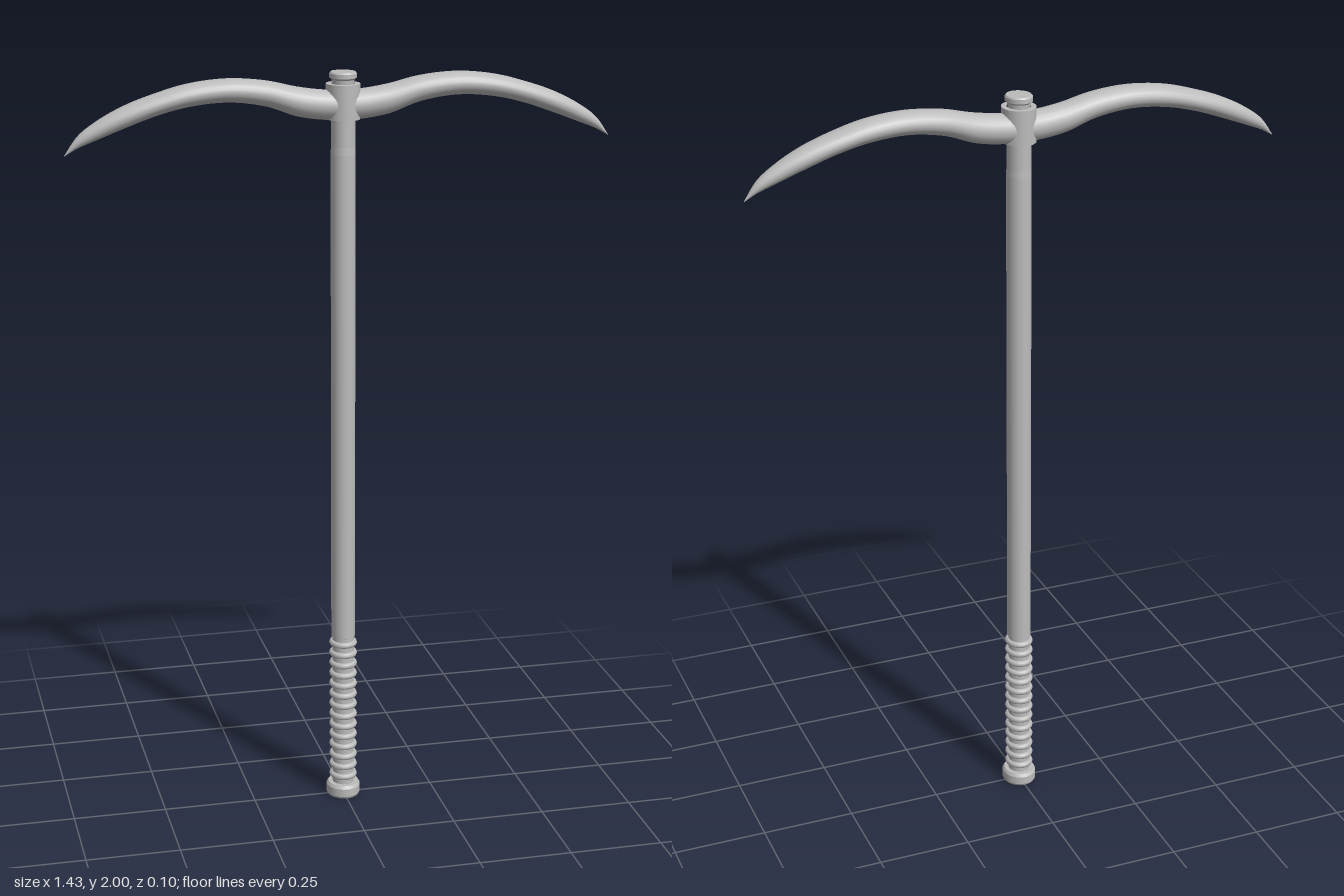
import * as THREE from 'three';

const DEPTH = 1.1; // the shaft is slightly oval, deeper than wide

export function createModel() {
  const group = new THREE.Group();
  const steel = new THREE.MeshStandardMaterial({ color: 0xbcbcbc });
  steel.name = 'plain grey';

  const add = (name, geometry) => {
    const mesh = new THREE.Mesh(geometry, steel);
    mesh.name = name;
    group.add(mesh);
  };

  // Turned part; every profile segment is its own band so its edges stay crisp
  const turned = (name, profile, sides = 24) => {
    const pts = [];
    profile.forEach(([r, y]) => pts.push(new THREE.Vector2(r, y)));
    for (let i = 0; i < pts.length - 1; i++) {
      const g = new THREE.LatheGeometry([pts[i], pts[i + 1]], sides);
      g.scale(1, 1, DEPTH);
      add(name, g);
    }
  };

  // Pommel, shaft, collar and end cap
  turned('pommel', [[0, 0], [0.043, 0], [0.046, 0.006], [0.046, 0.028], [0.041, 0.036], [0, 0.036]]);
  turned('gripCore', [[0.029, 0.03], [0.029, 0.47]]);
  turned('shaft', [[0.028, 0.465], [0.032, 0.467], [0.032, 1.79], [0.031, 1.81], [0.031, 1.9]]);
  turned('collar', [[0.03, 1.88], [0.044, 1.88], [0.044, 1.97], [0.03, 1.97]]);
  turned('endCap', [[0.028, 1.965], [0.029, 1.98], [0.035, 1.985], [0.035, 1.996], [0.032, 2], [0, 2]]);

  // Raised rings around the grip
  for (let i = 0; i < 14; i++) {
    const ring = new THREE.TorusGeometry(0.0295, 0.0085, 8, 24);
    ring.rotateX(Math.PI / 2);
    ring.scale(1, 1, DEPTH);
    ring.translate(0, 0.058 + i * 0.03, 0);
    add('gripRing', ring);
  }

  // Head arm sections: x, top y, bottom y, half depth
  const sections = [
    [0, 1.955, 1.878, 0.042], [0.05, 1.956, 1.879, 0.042], [0.12, 1.966, 1.89, 0.042],
    [0.2, 1.984, 1.918, 0.042], [0.3, 1.992, 1.932, 0.042], [0.4, 1.982, 1.924, 0.042],
    [0.48, 1.961, 1.905, 0.04], [0.56, 1.933, 1.877, 0.034], [0.63, 1.897, 1.85, 0.024],
    [0.68, 1.86, 1.83, 0.013], [0.714, 1.813, 1.811, 0.0005],
  ];
  const rail = new THREE.CatmullRomCurve3(
    sections.map(([x, top, low]) => new THREE.Vector3(x, (top + low) / 2, 0)));
  const size = new THREE.CatmullRomCurve3(
    sections.map(([x, top, low, d]) => new THREE.Vector3(x, (top - low) / 2, d)));

  const arm = () => {
    const rings = 50, sides = 24, pos = [], index = [];
    for (let i = 0; i <= rings; i++) {
      const p = rail.getPoint(i / rings), s = size.getPoint(i / rings);
      for (let j = 0; j < sides; j++) {
        const a = (j / sides) * Math.PI * 2;
        pos.push(p.x, p.y + Math.cos(a) * s.y, Math.sin(a) * s.z);
        if (i === rings) continue;
        const k = (j + 1) % sides, r = i * sides, n = r + sides;
        index.push(r + j, r + k, n + j, r + k, n + k, n + j);
      }
    }
    const g = new THREE.BufferGeometry();
    g.setAttribute('position', new THREE.Float32BufferAttribute(pos, 3));
    g.setIndex(index);
    g.computeVertexNormals();
    return g;
  };

  // Two mirrored arms; a half turn mirrors them since they are symmetric in z
  add('leftPick', arm());
  add('rightPick', arm().rotateY(Math.PI));

  return group;
}
